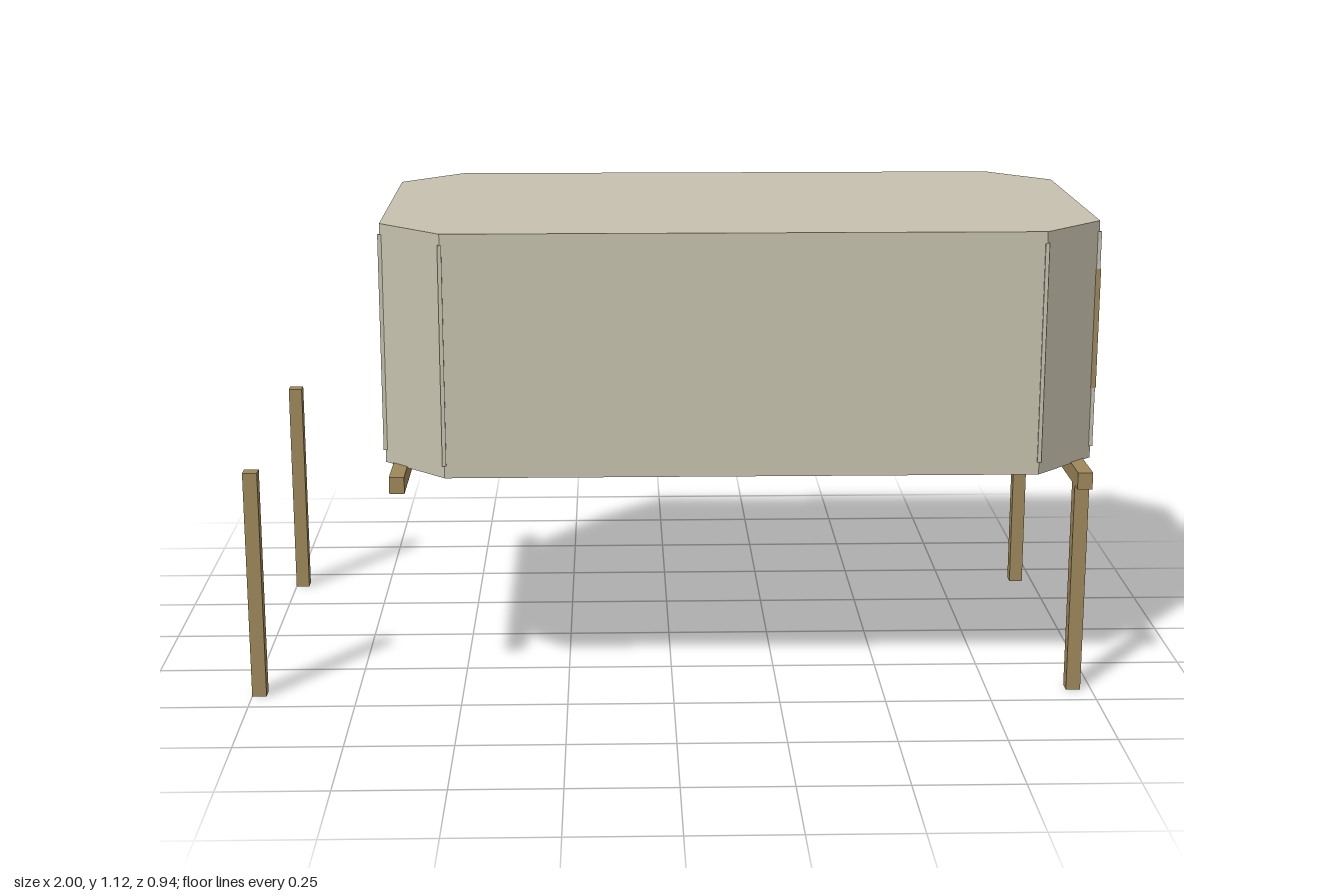
import * as THREE from 'three';

const paint = (name, color) => new THREE.MeshStandardMaterial({ name, color });

export function createModel() {
  const model = new THREE.Group();
  model.name = 'raisedCabin';
  const plaster = paint('plaster', 0xc6c1ae);
  const wood = paint('wood', 0x9e875a);
  const glass = paint('glass', 0x80a6b0);
  const brown = paint('brownPanel', 0x6e4430);
  const dark = paint('darkWood', 0x4a261c);

  const add = (name, geometry, material, x = 0, y = 0, z = 0, parent = model) => {
    const mesh = new THREE.Mesh(geometry, material);
    mesh.name = name;
    mesh.position.set(x, y, z);
    parent.add(mesh);
    return mesh;
  };
  const box = (name, material, w, h, d, x, y, z, parent) =>
    add(name, new THREE.BoxGeometry(w, h, d), material, x, y, z, parent);

  // Octagonal plan of the cabin, counter-clockwise as (x, z)
  const x0 = -0.677, x1 = 0.995, zMax = 0.467, cut = 0.148;
  const base = 0.545, top = 1.115, skin = 0.012;
  const plan = [
    [x0 + cut, zMax], [x1 - cut, zMax], [x1, zMax - cut], [x1, cut - zMax],
    [x1 - cut, -zMax], [x0 + cut, -zMax], [x0, cut - zMax], [x0, zMax - cut],
  ].map(([x, z]) => new THREE.Vector2(x, z));

  // Floor and roof slabs
  const slab = new THREE.ExtrudeGeometry(new THREE.Shape(plan), { depth: skin, bevelEnabled: false });
  slab.rotateX(-Math.PI / 2);
  add('floor', slab, plaster, 0, base, 0);
  add('roof', slab, plaster, 0, top - skin, 0);

  // Thin wall panels; the end facing -x has a wide opening
  const wallHeight = top - base - 2 * skin;
  plan.forEach((a, i) => {
    const b = plan[(i + 1) % plan.length];
    const half = a.distanceTo(b) / 2;
    const shape = new THREE.Shape();
    shape.moveTo(-half, 0).lineTo(half, 0).lineTo(half, wallHeight).lineTo(-half, wallHeight);
    if (i === 6) {
      const hole = new THREE.Path();
      hole.moveTo(-0.237, 0.014).lineTo(-0.237, 0.363).lineTo(0.237, 0.363).lineTo(0.237, 0.014);
      shape.holes.push(hole);
    }
    const panel = new THREE.ExtrudeGeometry(shape, { depth: skin, bevelEnabled: false });
    panel.translate(0, 0, -skin);
    const wall = add('wall', panel, plaster, (a.x + b.x) / 2, base + skin, (a.y + b.y) / 2);
    wall.rotation.y = Math.atan2(-(b.y - a.y), b.x - a.x);

    // Slim cover strip on each corner
    box('cornerStrip', plaster, 0.009, 0.515, 0.009, a.x, 0.832, a.y);
  });

  // Glazed end: panes, lower panel and mullions
  box('windowPane', glass, 0.004, 0.278, 0.636, x1 + 0.001, 0.859, 0);
  box('lowerPanel', brown, 0.004, 0.145, 0.636, x1 + 0.001, 0.6475, 0);
  for (const z of [-0.317, 0, 0.317]) {
    box('mullion', wood, 0.012, 0.285, 0.016, x1, 0.859, z);
  }

  // Cross beams under the cabin
  for (const x of [-0.64, 0.957]) {
    box('crossBeam', wood, 0.035, 0.04, 2 * zMax, x, 0.528, 0);
  }

  // Posts: one pair carries a beam, the other stands free
  for (const z of [-0.415, 0.415]) {
    box('supportPost', wood, 0.034, 0.51, 0.034, 0.957, 0.255, z);
    box('freePost', wood, 0.034, 0.55, 0.034, -0.983, 0.275, z);
  }

  // Small table inside, near the opening
  const table = new THREE.Group();
  table.name = 'table';
  table.position.set(-0.485, base + skin, 0.215);
  model.add(table);
  add('tableTop', new THREE.CylinderGeometry(0.06, 0.06, 0.01, 12), dark, 0, 0.088, 0, table);
  add('tableInlay', new THREE.CylinderGeometry(0.052, 0.052, 0.004, 12), plaster, 0, 0.093, 0, table);
  box('tableStretcher', dark, 0.06, 0.008, 0.008, 0, 0.042, 0, table);
  for (const sx of [-1, 1]) {
    for (const sz of [-1, 1]) {
      const leg = box('tableLeg', dark, 0.013, 0.086, 0.013, sx * 0.03, 0.043, sz * 0.028, table);
      leg.rotation.set(-sz * 0.25, 0, sx * 0.25);
    }
    box('tableFoot', dark, 0.016, 0.01, 0.09, sx * 0.039, 0.006, 0, table);
  }
  return model;
}
